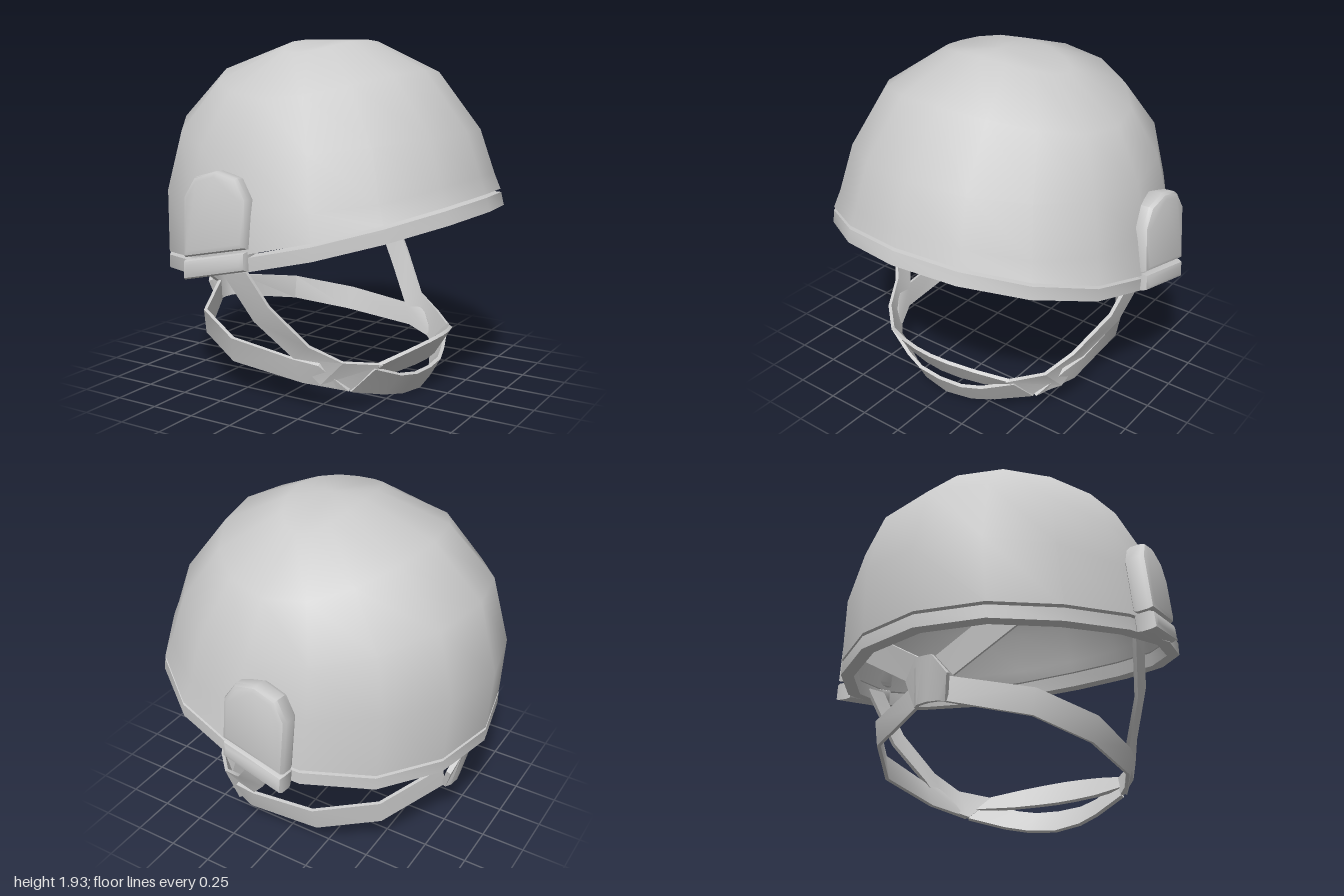
import * as THREE from 'three';
import { toCreasedNormals } from 'three/addons/utils/BufferGeometryUtils.js';

const SIDES = 16;
const material = new THREE.MeshStandardMaterial({ color: 0xcccccc, side: THREE.DoubleSide });
const V = (x, y, z) => new THREE.Vector3(x, y, z);

// Skin a list of closed rings, all with the same number of points
function loft(rings, crease) {
  const n = rings[0].length;
  const pos = [];
  for (let i = 0; i < rings.length - 1; i++) {
    for (let j = 0; j < n; j++) {
      const k = (j + 1) % n;
      const a = rings[i][j], b = rings[i][k], c = rings[i + 1][j], d = rings[i + 1][k];
      for (const p of [a, b, c, b, d, c]) pos.push(p.x, p.y, p.z);
    }
  }
  const g = new THREE.BufferGeometry();
  g.setAttribute('position', new THREE.Float32BufferAttribute(pos, 3));
  return toCreasedNormals(g, crease);
}

function add(parent, name, geometry) {
  const mesh = new THREE.Mesh(geometry, material);
  mesh.name = name;
  parent.add(mesh);
  return mesh;
}

function makeRing(fn) {
  return Array.from({ length: SIDES }, (_, i) => {
    const a = (i / SIDES) * Math.PI * 2;
    return fn(Math.cos(a), Math.sin(a));
  });
}

// Brim line: level at the back, rising to the brow at +x
function brimY(x) {
  const t = Math.max(0, x + 0.7);
  return 0.675 + 0.099 * t + 0.0715 * t * t;
}
const brimRing = (lift, inset) => makeRing((c, s) => {
  const x = 0.96 * c + 0.05 * s * s + 0.01;
  const lean = c > 0 ? lift * 0.3 * c : 0;
  return V(x - (inset + lean) * c, brimY(x) + lift, (0.955 - inset) * s);
});

// Dome ring from its front, back and side points
function domeRing([fx, fy, bx, by, sx, sy, sz], inset) {
  return makeRing((c, s) => {
    const x = (fx + bx) / 2 * c * c + (fx - bx) / 2 * c + sx * s * s;
    const y = ((fy + by) / 2 + (fy - by) / 2 * c) * c * c + sy * s * s;
    const k = 1 - inset;
    return V(x * k, 0.8 + (y - 0.8) * k, sz * s * k);
  });
}

// Strap with thickness, from pairs of edge points [x,y,z, x,y,z]
function strapGeometry(pairs, side = 1, thickness = 0.02) {
  const a = pairs.map(p => V(p[0], p[1], p[2] * side));
  const b = pairs.map(p => V(p[3], p[4], p[5] * side));
  const rings = a.map((p, i) => {
    const tangent = a[Math.min(i + 1, a.length - 1)].clone().sub(a[Math.max(i - 1, 0)]);
    const n = tangent.cross(b[i].clone().sub(p)).normalize().multiplyScalar(thickness * side);
    return [p, b[i], b[i].clone().add(n), p.clone().add(n)];
  });
  const cap = r => {
    const m = r.reduce((t, p) => t.add(p), V(0, 0, 0)).multiplyScalar(0.25);
    return r.map(() => m);
  };
  return loft([cap(rings[0]), ...rings, cap(rings[rings.length - 1])], 0.6);
}

// Continue a half strap across the centre plane
function mirrored(half) {
  const other = half.slice(0, -1).reverse().map(p => [p[0], p[1], -p[2], p[3], p[4], -p[5]]);
  return [...half, ...other];
}

function bevelled(shape) {
  const g = new THREE.ExtrudeGeometry(shape, {
    depth: 0.06, bevelThickness: 0.03, bevelSize: 0.03, bevelSegments: 2, curveSegments: 4,
  });
  return toCreasedNormals(g, 0.7);
}

export function createModel() {
  const helmet = new THREE.Group();
  helmet.name = 'helmet';

  // Shell: outer dome, brim edge, then the inner dome
  const dome = [
    [0.03, 1.93, 0.03, 1.93, 0.03, 1.93, 0],
    [0.23, 1.93, -0.17, 1.93, 0.0, 1.86, 0.4],
    [0.58, 1.77, -0.58, 1.79, 0.0, 1.64, 0.71],
    [0.83, 1.45, -0.86, 1.52, 0.01, 1.36, 0.85],
    [0.91, 1.22, -0.97, 1.12, 0.03, 1.09, 0.92],
  ];
  const outer = dome.map(d => domeRing(d, 0));
  const inner = dome.map(d => domeRing(d, 0.065)).reverse();
  add(helmet, 'shell', loft([...outer, brimRing(0.09, 0), brimRing(0.09, 0.065), ...inner], 0.8));

  // Trim band below a thin groove
  const band = [brimRing(0.072, 0), brimRing(0, 0), brimRing(0, 0.07), brimRing(0.08, 0.07)];
  add(helmet, 'brimBand', loft([...band, band[0]], 0.8));

  // Ear covers: arched upper piece and a lower clip, split by the groove
  const arch = new THREE.Shape();
  arch.moveTo(-0.16, 0.07);
  arch.lineTo(0.16, 0.13);
  arch.lineTo(0.16, 0.34);
  arch.bezierCurveTo(0.15, 0.49, -0.15, 0.49, -0.16, 0.34);
  const clip = new THREE.Shape();
  clip.moveTo(-0.16, -0.045);
  clip.lineTo(0.16, 0.02);
  clip.lineTo(0.16, 0.06);
  clip.lineTo(-0.16, -0.002);
  for (const side of [1, -1]) {
    const ear = new THREE.Group();
    ear.name = side > 0 ? 'leftEarCover' : 'rightEarCover';
    ear.scale.z = side;
    for (const [name, shape] of [['earArch', arch], ['earClip', clip]]) {
      const m = add(ear, name, bevelled(shape));
      m.position.set(-0.095, 0.8, 0.91);
      m.rotation.set(-0.09, 0.04, 0.03);
    }
    helmet.add(ear);
  }

  // Side, nape and crossing straps
  const sideStrap = [
    [-0.04, 0.82, 0.85, -0.18, 0.8, 0.86],
    [0.1, 0.58, 0.79, 0.0, 0.49, 0.78],
    [0.26, 0.36, 0.66, 0.16, 0.28, 0.65],
    [0.42, 0.28, 0.58, 0.3, 0.15, 0.61],
    [0.57, 0.25, 0.42, 0.42, 0.11, 0.5],
  ];
  const napeStrap = [
    [-0.76, 0.47, 0.1, -0.77, 0.34, 0.08],
    [-0.57, 0.4, 0.48, -0.57, 0.26, 0.46],
    [-0.24, 0.33, 0.66, -0.25, 0.19, 0.63],
    [0.16, 0.28, 0.66, 0.2, 0.15, 0.63],
    [0.3, 0.26, 0.63, 0.42, 0.11, 0.52],
  ];
  const crossStrap = [
    [-0.8, 0.575, 0.04, -0.76, 0.47, 0.12],
    [-0.76, 0.79, 0.37, -0.71, 0.74, 0.55],
  ];
  for (const side of [1, -1]) {
    const prefix = side > 0 ? 'left' : 'right';
    add(helmet, prefix + 'SideStrap', strapGeometry(sideStrap, side));
    add(helmet, prefix + 'NapeStrap', strapGeometry(napeStrap, side));
    add(helmet, prefix + 'CrossStrap', strapGeometry(crossStrap, side));
  }

  // Plate where the rear straps meet
  add(helmet, 'napePlate', strapGeometry(mirrored([
    [-0.79, 0.47, 0.12, -0.75, 0.34, 0.09],
    [-0.82, 0.57, 0.045, -0.77, 0.34, 0.06],
    [-0.82, 0.57, 0, -0.78, 0.34, 0],
  ]), 1, 0.03));

  // Chin cup: upper lip and lower sling with a slit between them
  add(helmet, 'chinLip', strapGeometry(mirrored([
    [0.56, 0.25, 0.43, 0.47, 0.16, 0.47],
    [0.65, 0.295, 0.27, 0.57, 0.17, 0.27],
    [0.7, 0.318, 0.12, 0.61, 0.175, 0.12],
    [0.715, 0.325, 0, 0.62, 0.175, 0],
  ])));
  add(helmet, 'chinSling', strapGeometry(mirrored([
    [0.54, 0.23, 0.45, 0.42, 0.1, 0.5],
    [0.6, 0.155, 0.27, 0.51, 0.04, 0.3],
    [0.635, 0.135, 0.15, 0.56, 0.015, 0.17],
    [0.645, 0.13, 0, 0.58, 0.0, 0],
  ])));
  return helmet;
}
